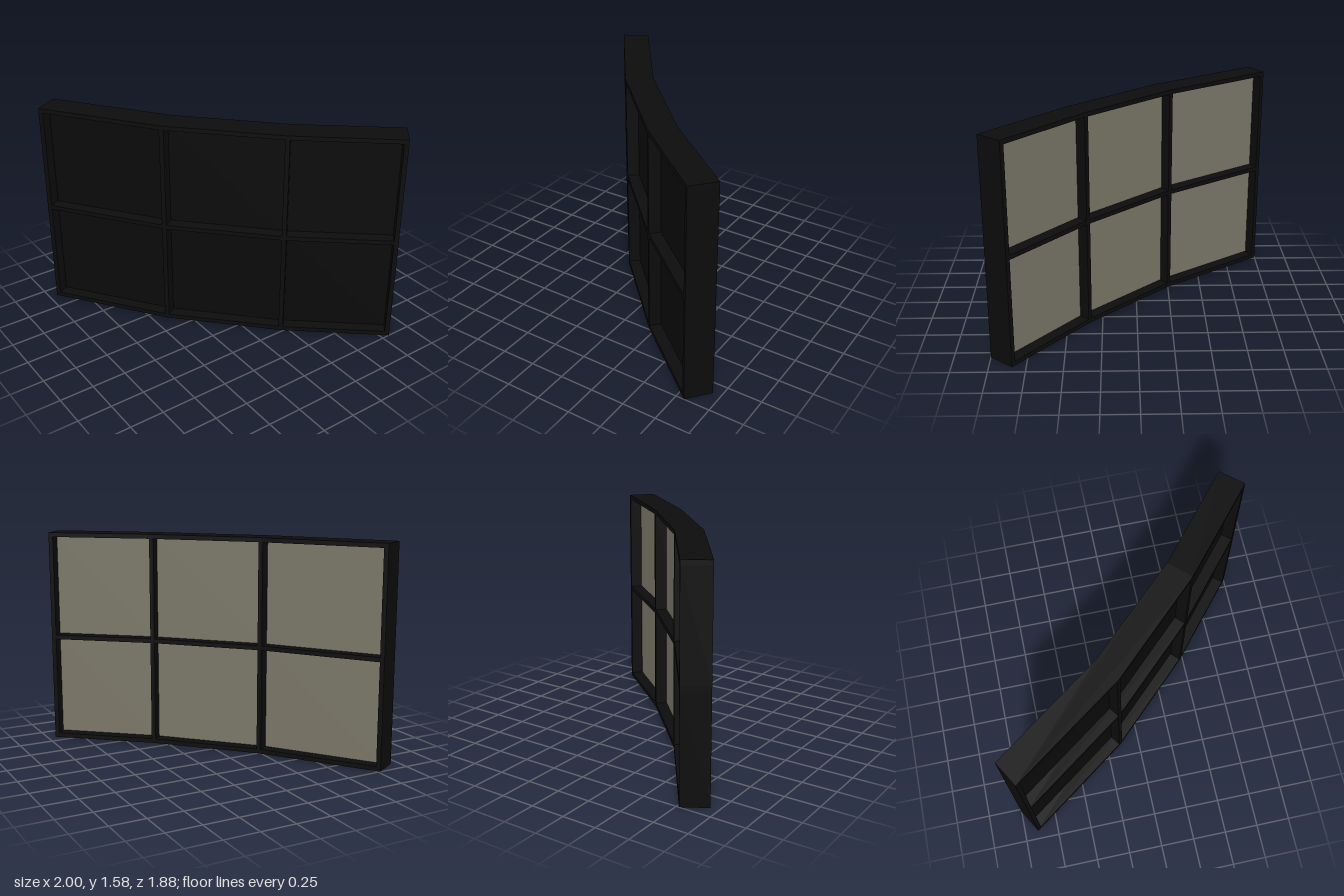
import * as THREE from 'three';

// Plan corners [x, z] of the two faces of the bent wall
const inner = [[-1, 0.77], [-0.255, 0.235], [0.34, -0.335], [0.845, -0.94]];
const outer = [[-0.9, 0.94], [-0.14, 0.4], [0.485, -0.2], [1, -0.81]];
const HEIGHT = 1.58, BAR = 0.032;
const BAYS = inner.length - 1;

const lerp = (a, b, t) => [a[0] + (b[0] - a[0]) * t, a[1] + (b[1] - a[1]) * t];

// Plan point in a bay: u runs along the wall, t from inner to outer face
const at = (bay, u, t) => lerp(
  lerp(inner[bay], inner[bay + 1], u),
  lerp(outer[bay], outer[bay + 1], u), t);

// Raise a plan outline from y0 to y1
function prism(name, outline, y0, y1, material) {
  const shape = new THREE.Shape(outline.map(([x, z]) => new THREE.Vector2(x, -z)));
  const geometry = new THREE.ExtrudeGeometry(shape, { depth: y1 - y0, bevelEnabled: false });
  geometry.rotateX(-Math.PI / 2).translate(0, y0, 0);
  const mesh = new THREE.Mesh(geometry, material);
  mesh.name = name;
  return mesh;
}

export function createModel() {
  const model = new THREE.Group();
  model.name = 'angledWindow';
  const frameMat = new THREE.MeshStandardMaterial({ color: 0x0c0c0c });
  const darkMat = new THREE.MeshStandardMaterial({ color: 0x0a0a0a });
  const paneMat = new THREE.MeshStandardMaterial({ color: 0x7a7768 });

  // Bottom, middle and top rails follow the whole bent plan
  const plan = [...inner, ...outer.slice().reverse()];
  const middle = (HEIGHT - BAR) / 2;
  const railY = [0, middle, HEIGHT - BAR];
  ['bottomRail', 'middleRail', 'topRail'].forEach((name, i) =>
    model.add(prism(name, plan, railY[i], railY[i] + BAR, frameMat)));

  for (let row = 0; row < 2; row++) {
    const y0 = railY[row] + BAR, y1 = railY[row + 1];

    for (let bay = 0; bay < BAYS; bay++) {
      const length = Math.hypot(inner[bay + 1][0] - inner[bay][0], inner[bay + 1][1] - inner[bay][1]);
      const u0 = (bay === 0 ? BAR : BAR / 2) / length;
      const u1 = 1 - (bay === BAYS - 1 ? BAR : BAR / 2) / length;
      const quad = (a, b, t0, t1) => [at(bay, a, t0), at(bay, b, t0), at(bay, b, t1), at(bay, a, t1)];

      // Half posts on both sides of the bay meet at the bends
      model.add(prism('post', quad(0, u0, 0, 1), y0, y1, frameMat));
      model.add(prism('post', quad(u1, 1, 0, 1), y0, y1, frameMat));

      // Light pane inside, dark pane outside, both set back in the frame
      model.add(prism('innerPane', quad(u0, u1, 0.43, 0.5), y0, y1, paneMat));
      model.add(prism('outerPane', quad(u0, u1, 0.5, 0.57), y0, y1, darkMat));
    }
  }
  return model;
}
